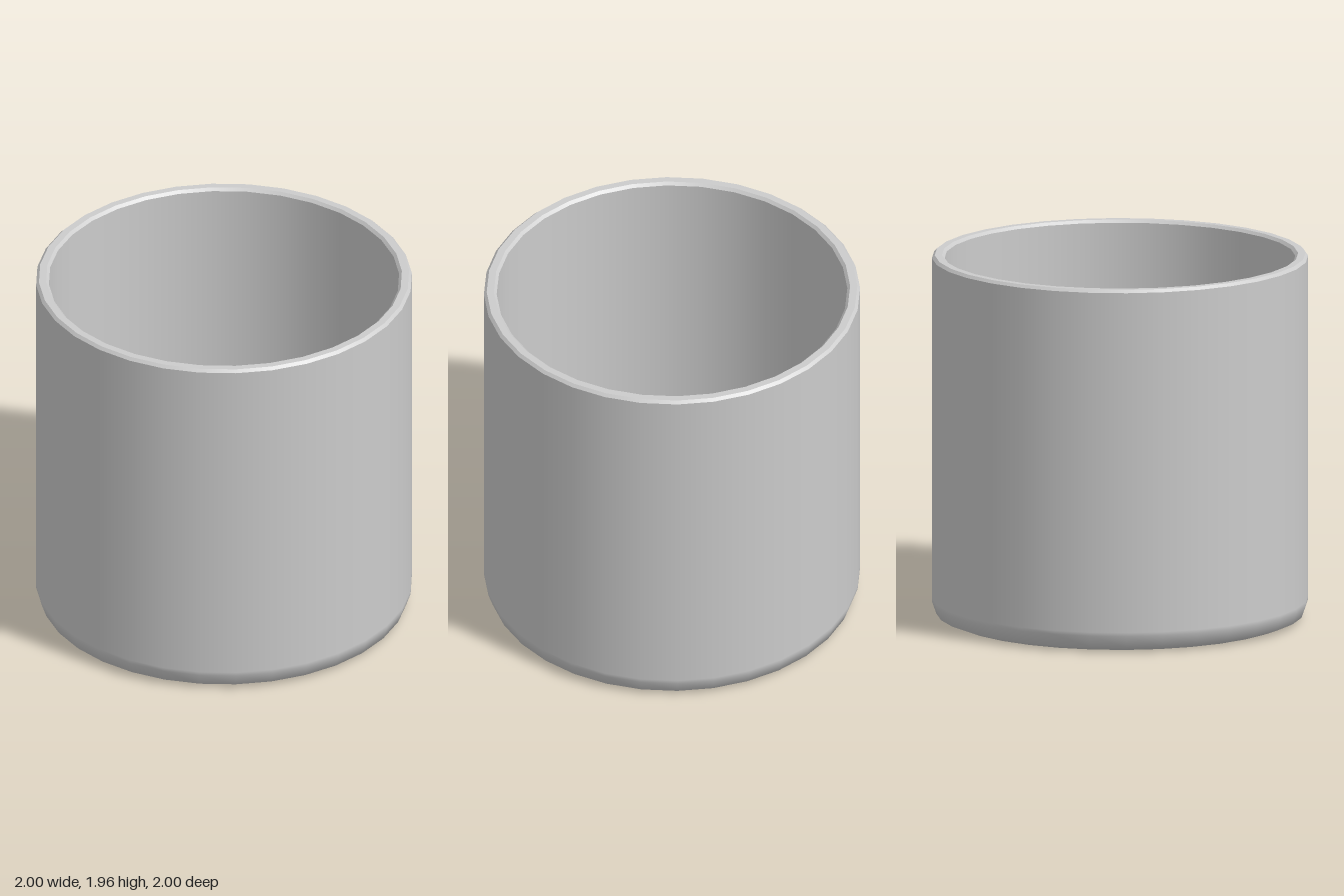
import * as THREE from 'three';

const SIDES = 32;

export function createModel() {
  const group = new THREE.Group();
  group.name = 'cup';
  const material = new THREE.MeshStandardMaterial({ color: 0xcccccc });

  // Smooth ring of surface around the y axis; separate rings meet at sharp edges
  const lathe = (name, parent, ...points) => {
    const profile = points.map(([r, y]) => new THREE.Vector2(r, y));
    const mesh = new THREE.Mesh(new THREE.LatheGeometry(profile, SIDES), material);
    mesh.name = name;
    parent.add(mesh);
  };

  // Each consecutive pair of points becomes its own crisp band
  const bands = (name, points) => {
    const part = new THREE.Group();
    part.name = name;
    for (let i = 0; i < points.length - 1; i++) {
      lathe(`${name}Band${i + 1}`, part, points[i], points[i + 1]);
    }
    group.add(part);
  };

  // Underside: slightly raised centre disc and a pressed groove
  bands('underside', [[0, 0.02], [0.39, 0.02], [0.475, 0.055], [0.6, 0.055], [0.675, 0], [0.9, 0]]);

  // Outer wall with a rounded foot
  lathe('outerWall', group, [0.9, 0], [0.91, 0], [0.975, 0.025], [0.998, 0.09], [0.998, 0.11], [0.998, 1.945]);

  // Rim with small bevels on both edges
  bands('rim', [[0.998, 1.945], [0.983, 1.96], [0.945, 1.96], [0.93, 1.945]]);

  // Inner wall
  lathe('innerWall', group, [0.93, 1.945], [0.93, 0.07]);

  // Inner floor with the raised ring that mirrors the groove
  bands('innerFloor', [[0.93, 0.07], [0.68, 0.07], [0.6, 0.125], [0.48, 0.125], [0.39, 0.09], [0, 0.09]]);

  return group;
}
